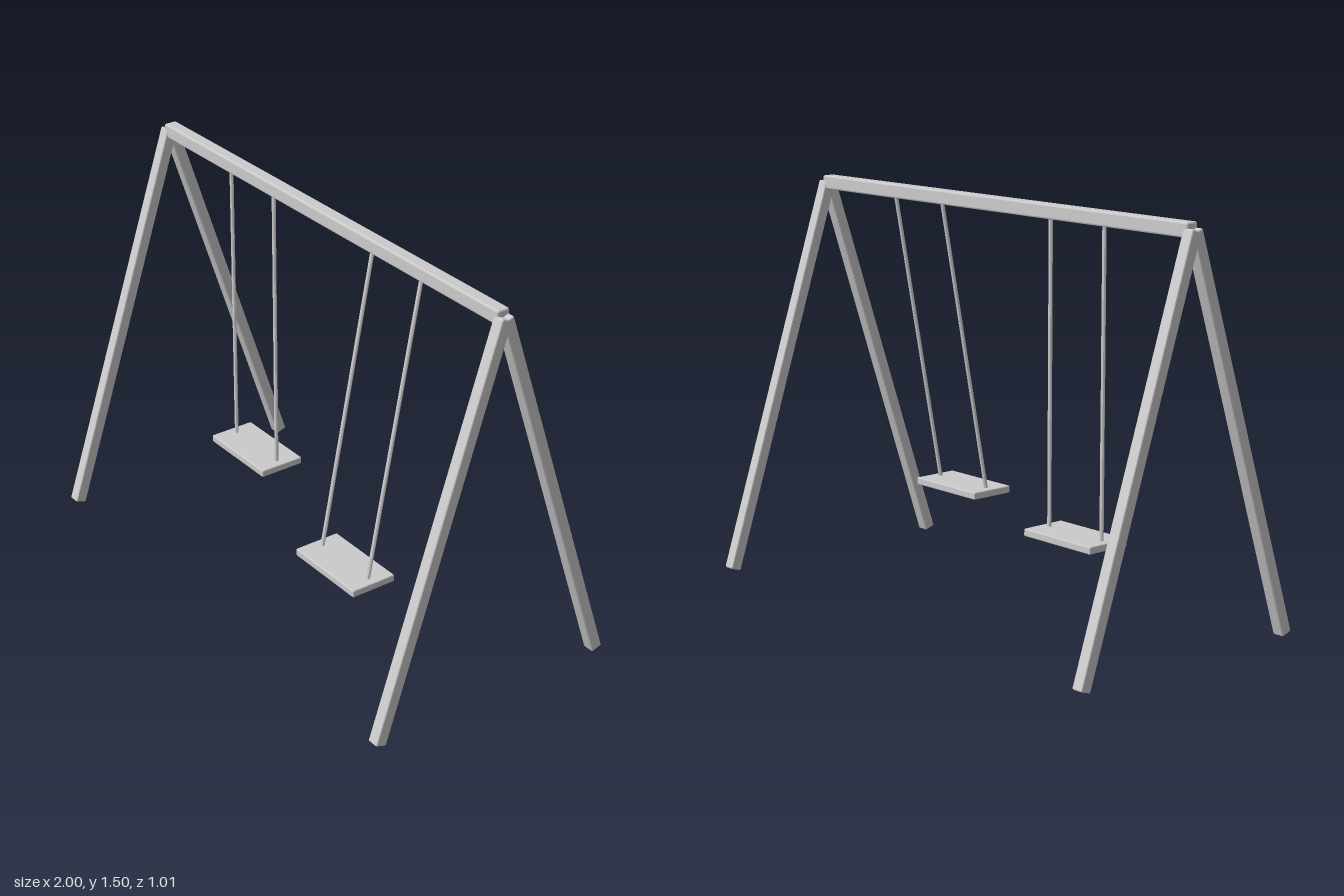
import * as THREE from 'three';
import { RoundedBoxGeometry } from 'three/addons/geometries/RoundedBoxGeometry.js';

const material = new THREE.MeshStandardMaterial({ color: 0xcccccc, flatShading: true });
const UP = new THREE.Vector3(0, 1, 0);

// Box with a narrow chamfer on every edge
function chamferedBox(name, w, h, d, bevel = 0.005) {
  const mesh = new THREE.Mesh(new RoundedBoxGeometry(w, h, d, 1, bevel), material);
  mesh.name = name;
  return mesh;
}

// Place a mesh whose length runs along y between two points
function span(mesh, from, to) {
  mesh.position.addVectors(from, to).multiplyScalar(0.5);
  mesh.quaternion.setFromUnitVectors(UP, to.clone().sub(from).normalize());
  return mesh;
}

// Seat hung from the beam by two ropes, swung forward by seatZ
function createSwing(name, x, seatZ) {
  const swing = new THREE.Group();
  swing.name = name;
  const seat = chamferedBox('seat', 0.34, 0.028, 0.18, 0.004);
  seat.position.set(x, 0.329, seatZ);
  swing.add(seat);
  for (const side of [-1, 1]) {
    const ropeX = x + side * 0.134;
    const from = new THREE.Vector3(ropeX, 0.338, seatZ);
    const to = new THREE.Vector3(ropeX, 1.455, 0);
    const rope = new THREE.Mesh(new THREE.CylinderGeometry(0.0075, 0.0075, from.distanceTo(to), 8), material);
    rope.name = side < 0 ? 'rightRope' : 'leftRope';
    swing.add(span(rope, from, to));
  }
  return swing;
}

export function createModel() {
  const model = new THREE.Group();
  model.name = 'swingSet';

  // Top beam
  const beam = chamferedBox('topBeam', 1.95, 0.052, 0.05, 0.006);
  beam.position.y = 1.471;
  model.add(beam);

  // A-frame legs at both ends
  for (const sx of [-1, 1]) {
    const frame = new THREE.Group();
    frame.name = sx < 0 ? 'rightFrame' : 'leftFrame';
    for (const sz of [-1, 1]) {
      const from = new THREE.Vector3(sx * 0.978, 0.007, sz * 0.486);
      const to = new THREE.Vector3(sx * 0.978, 1.471, sz * 0.002);
      const leg = chamferedBox(sz < 0 ? 'backLeg' : 'frontLeg', 0.045, from.distanceTo(to), 0.045);
      frame.add(span(leg, from, to));
    }
    model.add(frame);
  }

  // One swing at rest, one swung forward
  model.add(createSwing('rightSwing', -0.43, 0));
  model.add(createSwing('leftSwing', 0.425, 0.213));
  return model;
}
